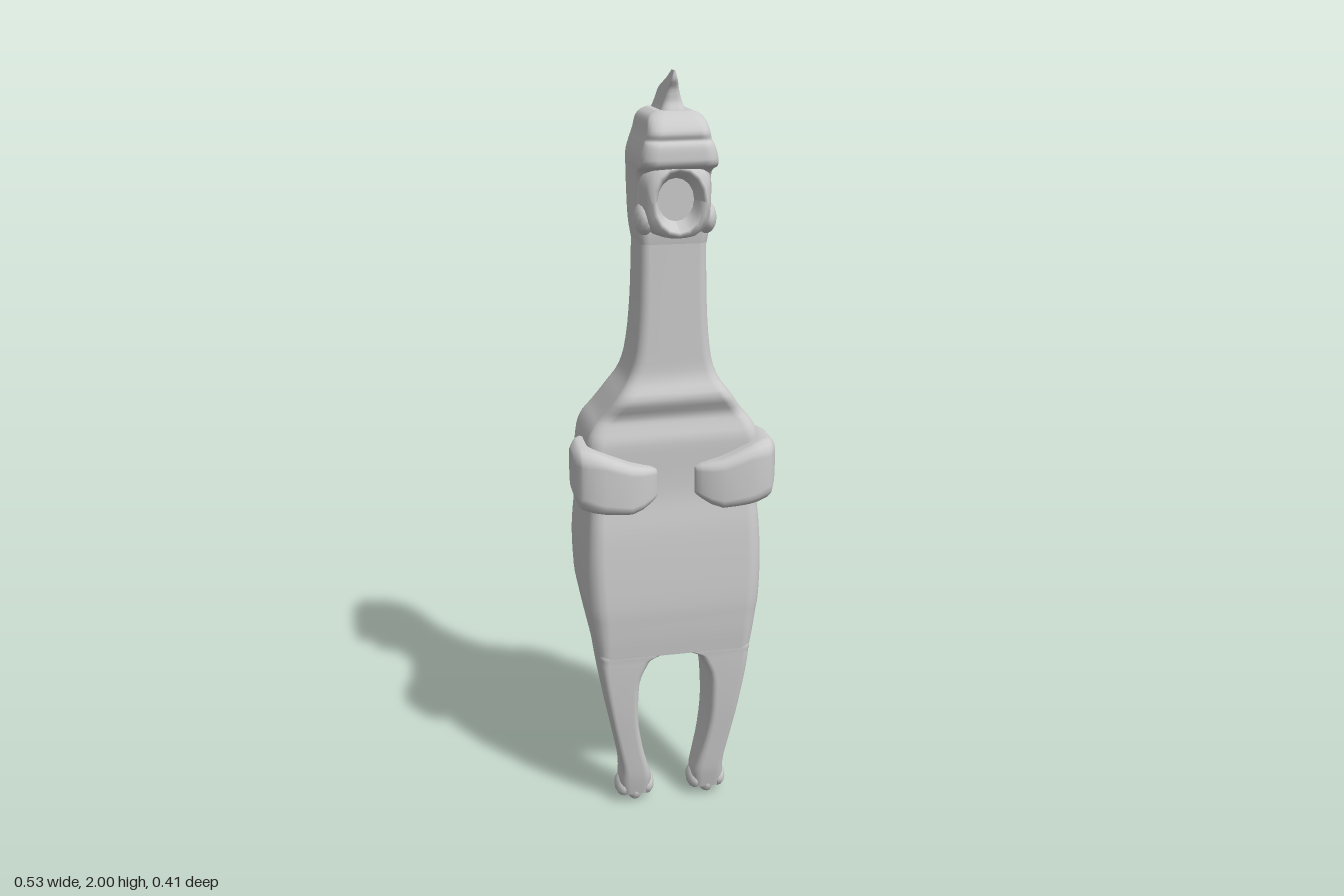
import * as THREE from 'three';

const material = new THREE.MeshStandardMaterial({ color: 0xcccccc, side: THREE.DoubleSide });

// Turns (u, v, t) of a cross-section into x, y, z for each lofting axis
const AXES = {
  x: (u, v, t) => [t, u, v],
  y: (u, v, t) => [v, t, u],
  z: (u, v, t) => [u, v, t],
};

// Rounded-rectangle outline, counter-clockwise
function ring(u0, u1, v0, v1, r, steps = 4) {
  const ru = (u1 - u0) / 2 * r, rv = (v1 - v0) / 2 * r;
  const k = Math.min(ru, rv), a = r === 1 ? ru : k, b = r === 1 ? rv : k;
  const centres = [[u1 - a, v1 - b], [u0 + a, v1 - b], [u0 + a, v0 + b], [u1 - a, v0 + b]];
  const pts = [];
  centres.forEach(([cu, cv], c) => {
    for (let i = 0; i <= steps; i++) {
      const ang = (c + i / (steps + 0.001)) * Math.PI / 2;
      pts.push([cu + a * Math.cos(ang), cv + b * Math.sin(ang)]);
    }
  });
  return pts;
}

// Skin over sections [t, u0, u1, v0, v1, roundness], with extra steps between them
function loft(axis, sections, sub = 3) {
  const spline = (k, i, f) => {
    const at = (j) => sections[Math.max(0, Math.min(sections.length - 1, j))][k];
    const a = at(i - 1), b = at(i), c = at(i + 1), d = at(i + 2);
    // limited tangents avoid overshoot
    const slope = (p, q, r) => ((q - p) * (r - q) <= 0 ? 0 : (r - p) / 2);
    const m0 = slope(a, b, c), m1 = slope(b, c, d), f2 = f * f, f3 = f2 * f;
    return (2 * f3 - 3 * f2 + 1) * b + (f3 - 2 * f2 + f) * m0 + (3 * f2 - 2 * f3) * c + (f3 - f2) * m1;
  };
  const rows = [];
  for (let i = 0; i < sections.length - 1; i++) {
    for (let s = 0; s < sub; s++) rows.push([0, 1, 2, 3, 4, 5].map((k) => (sub === 1 ? sections[i][k] : spline(k, i, s / sub))));
  }
  rows.push(sections[sections.length - 1]);
  const pos = [], idx = [], map = AXES[axis];
  let n = 0;
  rows.forEach(([t, u0, u1, v0, v1, r]) => {
    const pts = ring(u0, u1, v0, v1, r);
    n = pts.length;
    pts.forEach(([u, v]) => pos.push(...map(u, v, t)));
  });
  for (let i = 0; i < rows.length - 1; i++) {
    for (let j = 0; j < n; j++) {
      const a = i * n + j, b = i * n + (j + 1) % n;
      idx.push(a, b, b + n, a, b + n, a + n);
    }
  }
  // end caps with their own vertices
  [0, rows.length - 1].forEach((row, end) => {
    const base = pos.length / 3;
    pos.push(...pos.slice(row * n * 3, (row + 1) * n * 3));
    for (let j = 1; j < n - 1; j++) {
      if (end) idx.push(base, base + j, base + j + 1);
      else idx.push(base, base + j + 1, base + j);
    }
  });
  const g = new THREE.BufferGeometry();
  g.setAttribute('position', new THREE.Float32BufferAttribute(pos, 3));
  g.setIndex(idx);
  g.computeVertexNormals();
  return g;
}

function add(parent, name, geometry) {
  const mesh = new THREE.Mesh(geometry, material);
  mesh.name = name;
  parent.add(mesh);
  return mesh;
}

// Symmetric upright section: height, back z, front z, half width, roundness
const up = ([y, back, front, w, r]) => [y, back, front, -w, w, r];

export function createModel() {
  const model = new THREE.Group();

  // Torso and neck in one skin
  add(model, 'body', loft('y', [
    [0.49, -0.06, 0.155, 0.207, 0.25], [0.54, -0.125, 0.16, 0.216, 0.25], [0.59, -0.18, 0.163, 0.224, 0.25],
    [0.64, -0.202, 0.165, 0.231, 0.25], [0.75, -0.2, 0.16, 0.235, 0.25], [0.85, -0.178, 0.152, 0.23, 0.25],
    [0.93, -0.153, 0.14, 0.224, 0.25], [1.0, -0.137, 0.138, 0.23, 0.25], [1.08, -0.118, 0.14, 0.226, 0.3],
    [1.12, -0.108, 0.13, 0.21, 0.3], [1.15, -0.1, 0.123, 0.185, 0.3], [1.2, -0.085, 0.145, 0.15, 0.3],
    [1.25, -0.075, 0.123, 0.115, 0.3], [1.32, -0.068, 0.12, 0.097, 0.3], [1.45, -0.052, 0.12, 0.087, 0.3],
    [1.64, -0.035, 0.12, 0.084, 0.3],
  ].map(up)));

  // Head: narrow jaw behind the mouth, heavy brow with two folds
  add(model, 'head', loft('y', [
    [1.59, -0.036, 0.12, 0.085, 0.3], [1.64, -0.045, 0.125, 0.092, 0.3], [1.72, -0.062, 0.125, 0.093, 0.3],
    [1.765, -0.066, 0.14, 0.094, 0.35], [1.785, -0.065, 0.198, 0.096, 0.4], [1.81, -0.063, 0.204, 0.094, 0.4],
    [1.835, -0.06, 0.2, 0.086, 0.4], [1.845, -0.06, 0.188, 0.082, 0.4], [1.86, -0.058, 0.193, 0.077, 0.4],
    [1.885, -0.052, 0.175, 0.072, 0.45], [1.9, -0.045, 0.15, 0.062, 0.5], [1.908, -0.035, 0.13, 0.045, 0.5],
  ].map(up)));

  // Wide-open mouth: outer muzzle, rim, then a hollow running back inside
  add(model, 'mouth', loft('z', [
    [0.08, -0.088, 0.088, 1.62, 1.78, 0.5], [0.13, -0.088, 0.088, 1.615, 1.79, 0.6],
    [0.165, -0.078, 0.078, 1.612, 1.79, 0.8], [0.182, -0.068, 0.068, 1.617, 1.783, 1],
    [0.182, -0.059, 0.059, 1.627, 1.774, 1], [0.16, -0.052, 0.052, 1.638, 1.763, 1],
    [0.132, -0.045, 0.045, 1.648, 1.752, 1],
  ], 1));

  // Crest, leaning forward to a point
  add(model, 'crest', loft('y', [
    [1.87, -0.05, 0.13, 0.052, 0.7], [1.905, -0.042, 0.118, 0.032, 0.7], [1.93, -0.032, 0.105, 0.022, 0.7],
    [1.955, -0.015, 0.105, 0.015, 0.7], [1.98, 0.05, 0.117, 0.008, 0.7], [2.0, 0.085, 0.115, 0.002, 0.7],
  ].map(up)));

  // Paired parts are built on the left and mirrored
  for (const side of [1, -1]) {
    const half = new THREE.Group();
    half.name = side > 0 ? 'leftSide' : 'rightSide';
    half.scale.x = side;
    model.add(half);

    // Wing folded round the chest
    add(half, 'wing', loft('x', [
      [0.05, 0.945, 1.015, 0.11, 0.148, 0.5], [0.065, 0.932, 1.025, 0.1, 0.165, 0.5],
      [0.12, 0.906, 1.04, 0.06, 0.186, 0.4], [0.19, 0.91, 1.07, 0.02, 0.188, 0.4],
      [0.232, 0.915, 1.082, -0.01, 0.178, 0.5], [0.252, 0.925, 1.08, 0.025, 0.165, 0.5],
      [0.264, 0.96, 1.065, 0.05, 0.14, 0.5],
    ], 2));

    // Leg: height, back z, front z, inner x, outer x, roundness
    add(half, 'leg', loft('y', [
      [0.035, 0.03, 0.102, 0.062, 0.143, 0.7], [0.08, 0.027, 0.113, 0.058, 0.148, 0.6],
      [0.12, 0.022, 0.12, 0.068, 0.145, 0.5], [0.2, 0.01, 0.13, 0.088, 0.158, 0.45],
      [0.3, -0.01, 0.142, 0.101, 0.177, 0.4], [0.4, -0.03, 0.15, 0.098, 0.194, 0.35],
      [0.45, -0.042, 0.153, 0.08, 0.201, 0.3], [0.475, -0.052, 0.154, 0.062, 0.204, 0.3],
      [0.492, -0.06, 0.155, 0.03, 0.207, 0.25], [0.51, -0.06, 0.15, 0.03, 0.204, 0.25],
    ]));

    // Cheek knob beside the mouth
    const cheek = add(half, 'cheek', new THREE.SphereGeometry(1, 14, 10));
    cheek.scale.set(0.025, 0.04, 0.045);
    cheek.position.set(0.077, 1.655, 0.12);

    // Three short toes
    [-1, 0, 1].forEach((i) => {
      const toe = add(half, 'toe', new THREE.SphereGeometry(1, 12, 8));
      toe.scale.set(0.023, 0.033, 0.04);
      toe.position.set(0.103 + i * 0.033, i ? 0.053 : 0.038, 0.066);
    });
  }
  return model;
}
